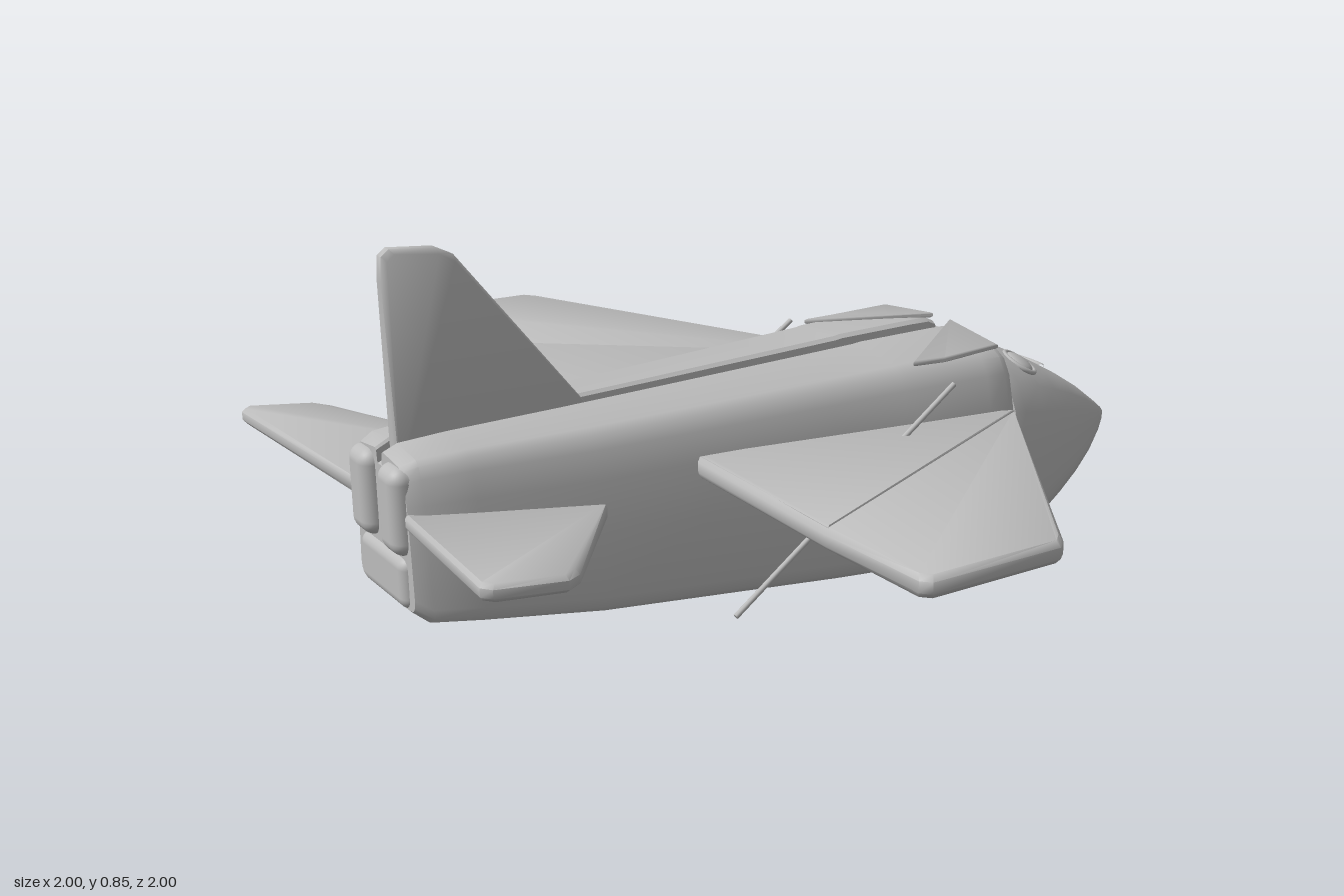
import * as THREE from 'three';
import { toCreasedNormals } from 'three/addons/utils/BufferGeometryUtils.js';
import { RoundedBoxGeometry } from 'three/addons/geometries/RoundedBoxGeometry.js';

const V = (x, y, z) => new THREE.Vector3(x, y, z);

function build(verts, index, crease) {
  const g = new THREE.BufferGeometry();
  g.setAttribute('position', new THREE.Float32BufferAttribute(verts.flatMap(v => [v.x, v.y, v.z]), 3));
  g.setIndex(index);
  return toCreasedNormals(g, crease);
}

// Skin through stations [x, bottom, top, halfWidth]; half outline runs bottom centre to top centre
function loft(stations, half) {
  const mirrored = half.slice(1, -1).reverse().map(([u, v]) => [-u, v]);
  const ring = [...half, ...mirrored], n = ring.length;
  const verts = [], index = [];
  for (const [x, b, t, w] of stations)
    for (const [u, v] of ring) verts.push(V(x, b + (t - b) * v, u * w));
  for (let i = 0; i < stations.length - 1; i++)
    for (let j = 0; j < n; j++) {
      const k = (j + 1) % n, a = i * n, b = a + n;
      index.push(a + j, b + j, b + k, a + j, b + k, a + k);
    }
  const last = (stations.length - 1) * n, c = verts.length;
  for (const [x, b, t] of [stations[0], stations.at(-1)]) verts.push(V(x, (b + t) / 2, 0));
  for (let j = 0; j < n; j++) {
    const k = (j + 1) % n;
    index.push(c, j, k, c + 1, last + k, last + j);
  }
  return build(verts, index, 0.6);
}

// Flat fin with softened rim: fans from the first corner, thick along the axis
function plate(points, thick, axis, rim = 0.012) {
  let p = points.map(q => V(...q));
  const normal = V(0, 0, 0);
  for (let i = 1; i < p.length - 1; i++)
    normal.add(p[i].clone().sub(p[0]).cross(p[i + 1].clone().sub(p[0])));
  if (normal.dot(axis) < 0) p = [p[0], ...p.slice(1).reverse()];
  const n = p.length, verts = [], index = [];
  const centre = p.reduce((s, q) => s.add(q), V(0, 0, 0)).divideScalar(n);
  for (const [offset, inset] of [[-0.5, rim], [-0.25, 0], [0.25, 0], [0.5, rim]])
    for (const q of p) {
      const toCentre = centre.clone().sub(q).normalize();
      verts.push(q.clone().addScaledVector(toCentre, inset).addScaledVector(axis, offset * thick));
    }
  for (let r = 0; r < 3; r++)
    for (let i = 0; i < n; i++) {
      const k = (i + 1) % n, a = r * n, b = a + n;
      index.push(a + i, a + k, b + k, a + i, b + k, b + i);
    }
  for (let i = 1; i < n - 1; i++) index.push(3 * n, 3 * n + i, 3 * n + i + 1, 0, i + 1, i);
  return build(verts, index, 0.9);
}

// Half outlines: u is a share of the half width, v a share of the height
const bodyHalf = [[0, 0], [0.82, 0], [0.93, 0.015], [0.98, 0.045], [1, 0.1], [0.96, 0.45], [0.92, 0.72],
  [0.86, 0.87], [0.79, 0.94], [0.7, 0.97], [0.14, 1], [0.1, 0.985], [0.08, 0.9], [0, 0.9]];
const noseHalf = [[0, 0], [0.6, 0.005], [0.84, 0.025], [0.95, 0.08], [0.99, 0.16], [1, 0.25], [0.96, 0.5],
  [0.9, 0.7], [0.79, 0.84], [0.62, 0.93], [0.4, 0.98], [0.2, 0.995], [0, 1]];
const noseStations = [[0.465, 0.03, 0.46, 0.25], [0.485, 0.022, 0.472, 0.27], [0.52, 0.027, 0.46, 0.265],
  [0.6, 0.042, 0.425, 0.24], [0.68, 0.062, 0.385, 0.204], [0.77, 0.088, 0.335, 0.16],
  [0.86, 0.115, 0.279, 0.108], [0.94, 0.142, 0.222, 0.053], [0.98, 0.157, 0.192, 0.021], [1, 0.17, 0.174, 0.002]];

// Height of the nose skin above a point
function noseY(x, z) {
  const i = Math.max(1, noseStations.findIndex(s => s[0] >= x));
  const a = noseStations[i - 1], c = noseStations[i], f = (x - a[0]) / (c[0] - a[0]);
  const [, b, t, w] = a.map((v, k) => v + (c[k] - v) * f);
  const u = Math.abs(z) / w, upper = noseHalf.slice(6).reverse();
  const j = Math.max(1, upper.findIndex(q => q[0] >= u));
  const [u0, v0] = upper[j - 1], [u1, v1] = upper[j];
  return b + (t - b) * (v0 + (v1 - v0) * (u - u0) / (u1 - u0));
}

function noseNormal(x, z) {
  const d = 0.02;
  return V(noseY(x - d, z) - noseY(x + d, z), 2 * d, noseY(x, z - d) - noseY(x, z + d)).normalize();
}

export function createModel() {
  const model = new THREE.Group();
  const grey = new THREE.MeshStandardMaterial({ color: 0xbcbcbc });
  grey.name = 'light grey';
  const up = V(0, 1, 0), side = V(0, 0, 1);
  const add = (name, geometry) => {
    const mesh = new THREE.Mesh(geometry, grey);
    mesh.name = name;
    model.add(mesh);
    return mesh;
  };

  // Fuselage with a groove down its back
  add('fuselage', loft([[-0.93, 0.175, 0.475, 0.125], [-0.9, 0.15, 0.488, 0.142], [-0.8, 0.135, 0.492, 0.16],
    [-0.55, 0.1, 0.493, 0.195], [-0.3, 0.075, 0.495, 0.217], [0, 0.045, 0.498, 0.243], [0.18, 0.03, 0.5, 0.258],
    [0.2, 0.016, 0.502, 0.262], [0.4, 0.008, 0.5, 0.276], [0.45, 0.01, 0.498, 0.278],
    [0.47, 0.02, 0.488, 0.27]], bodyHalf));
  add('nose', loft(noseStations, noseHalf));

  // Vertical fin standing in the groove
  add('tailFin', plate([[-0.9, 0.4, -0.005], [-0.905, 0.8, -0.005], [-0.902, 0.85, -0.005], [-0.885, 0.863, -0.005],
    [-0.79, 0.853, -0.005], [-0.755, 0.835, -0.005], [-0.48, 0.485, -0.005], [-0.43, 0.42, -0.005]], 0.036, side));

  for (const s of [1, -1]) {
    const label = s > 0 ? 'left' : 'right';
    const flip = pts => pts.map(([x, y, z]) => [x, y, z * s]);

    // Wing creased from the root's leading corner to the trailing edge
    add(label + 'Wing', plate(flip([[0.475, 0.328, 0.25], [-0.07, 0.402, 0.98], [-0.095, 0.404, 1],
      [-0.385, 0.412, 1], [-0.4, 0.411, 0.98], [-0.39, 0.398, 0.7], [-0.33, 0.368, 0.17],
      [0.3, 0.33, 0.17]]), 0.044, up));
    add(label + 'WingFold', plate(flip([[0.46, 0.35, 0.265], [-0.38, 0.416, 0.7], [-0.325, 0.388, 0.2],
      [0.3, 0.352, 0.2]]), 0.012, up, 0.008));

    // Tailplane
    add(label + 'Tailplane', plate(flip([[-0.52, 0.312, 0.16], [-0.805, 0.374, 0.55], [-0.84, 0.38, 0.575],
      [-0.985, 0.4, 0.575], [-1, 0.4, 0.555], [-0.93, 0.36, 0.09]]), 0.034, up));

    // Folded flap on the shoulder
    add(label + 'Flap', plate(flip([[0.465, 0.504, 0.03], [0.22, 0.488, 0.2], [0.3, 0.484, 0.208],
      [0.462, 0.486, 0.2]]), 0.012, up, 0.006));

    // Rounded tail end beside the groove
    add(label + 'TailEnd', new RoundedBoxGeometry(0.14, 0.18, 0.09, 3, 0.03)).position.set(-0.885, 0.375, 0.067 * s);

    // Thin stick beside the fuselage
    const stick = add(label + 'Stick', new THREE.CylinderGeometry(0.006, 0.006, 0.69, 8));
    stick.position.set(-0.035, 0.272, 0.306 * s);
    stick.quaternion.setFromUnitVectors(up, V(0.57, 0.38, -0.015 * s).normalize());

    // Eye: low bump with a raised rim
    const ex = 0.595, ez = 0.128 * s, normal = noseNormal(ex, ez);
    const eye = new THREE.Group();
    eye.name = label + 'Eye';
    eye.position.set(ex, noseY(ex, ez) - 0.002, ez);
    eye.quaternion.setFromUnitVectors(side, normal);
    const ball = new THREE.Mesh(new THREE.SphereGeometry(0.036, 20, 12), grey);
    ball.scale.z = 0.35;
    ball.name = 'eyeball';
    const rim = new THREE.Mesh(new THREE.TorusGeometry(0.041, 0.006, 8, 28), grey);
    rim.name = 'eyeRim';
    eye.add(ball, rim);
    model.add(eye);
  }

  // Lower tail block
  add('tailBlock', new RoundedBoxGeometry(0.14, 0.11, 0.21, 3, 0.025)).position.set(-0.872, 0.227, 0);

  // Smile laid on the nose
  const smile = [];
  for (let i = 0; i <= 10; i++) {
    const z = -0.085 + 0.017 * i, x = 0.75 - 0.045 * (z / 0.085) ** 2;
    smile.push(V(x, noseY(x, z) + 0.001, z));
  }
  add('smile', new THREE.TubeGeometry(new THREE.CatmullRomCurve3(smile), 30, 0.007, 8));

  return model;
}
